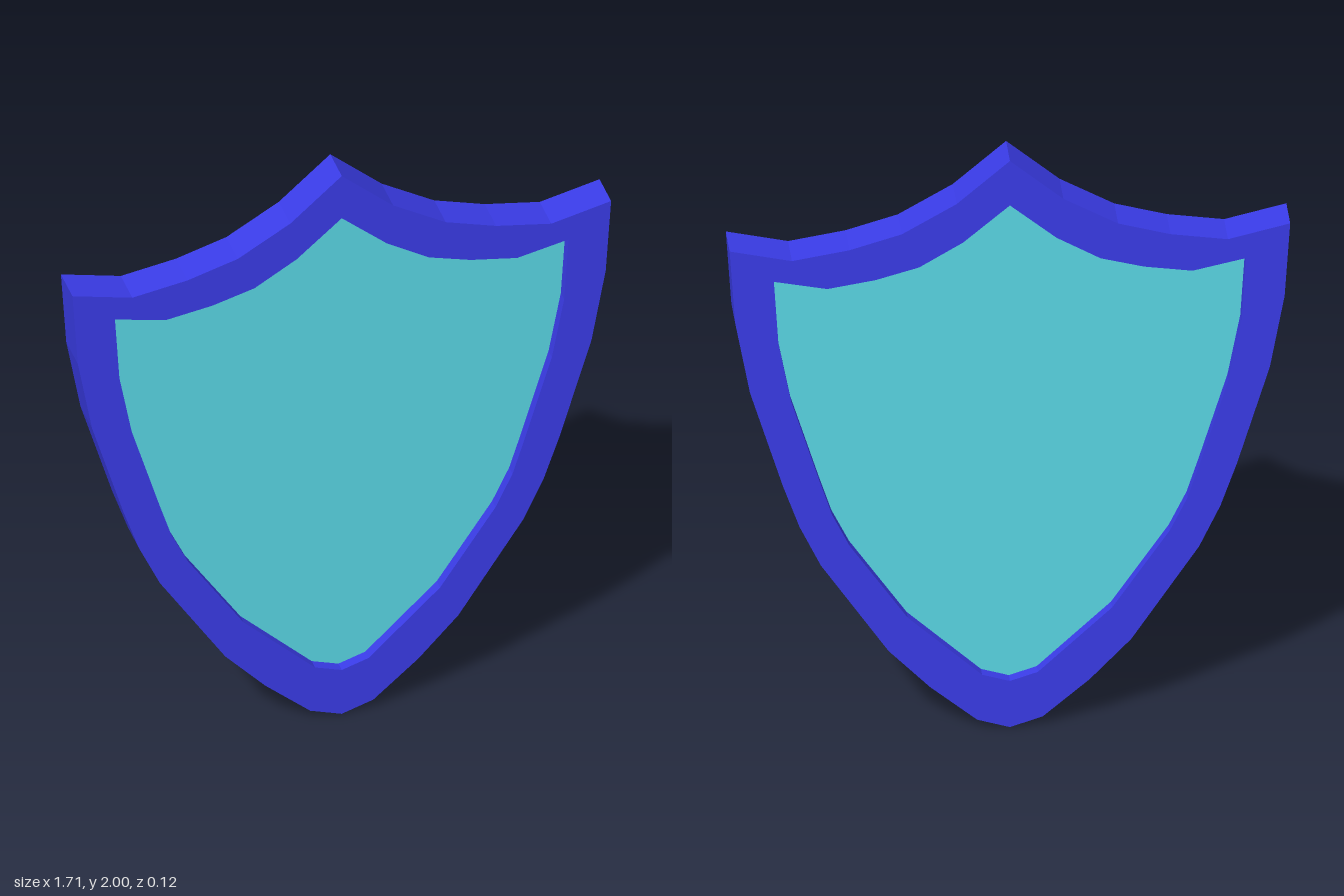
import * as THREE from 'three';

// Right half of each outline, from top point to bottom point
const OUTER = [[0, 2], [0.163, 1.857], [0.33, 1.76], [0.49, 1.713], [0.665, 1.685], [0.855, 1.73],
  [0.838, 1.475], [0.793, 1.227], [0.692, 0.89], [0.642, 0.745], [0.577, 0.605], [0.37, 0.29],
  [0.243, 0.155], [0.1, 0.032], [0, 0]];
const INNER = [[0, 1.843], [0.143, 1.72], [0.277, 1.64], [0.41, 1.603], [0.557, 1.58], [0.72, 1.615],
  [0.706, 1.395], [0.667, 1.188], [0.58, 0.9], [0.542, 0.78], [0.488, 0.667], [0.312, 0.405],
  [0.085, 0.19], [0, 0.163]];

// Mirrors a half outline into a closed clockwise loop
function outline(half) {
  const mirrored = half.slice(1, -1).reverse().map(([x, y]) => [-x, y]);
  return [...half, ...mirrored].map(([x, y]) => new THREE.Vector2(x, y));
}

// Extrudes a shape evenly about z = 0
function slab(name, shape, depth, color) {
  const geometry = new THREE.ExtrudeGeometry(shape, { depth, bevelEnabled: false });
  geometry.translate(0, 0, -depth / 2);
  const mesh = new THREE.Mesh(geometry, new THREE.MeshStandardMaterial({ color, flatShading: true }));
  mesh.name = name;
  return mesh;
}

export function createModel() {
  const group = new THREE.Group();
  group.name = 'shield';

  // Raised rim; both loops run counter-clockwise so the opening's walls face inward
  const rim = new THREE.Shape(outline(OUTER).reverse());
  rim.holes.push(new THREE.Path(outline(INNER).reverse()));
  group.add(slab('rim', rim, 0.12, 0x3a3ce8));

  // Panel recessed on both faces
  group.add(slab('panel', new THREE.Shape(outline(INNER)), 0.05, 0x5ad8e6));

  return group;
}
